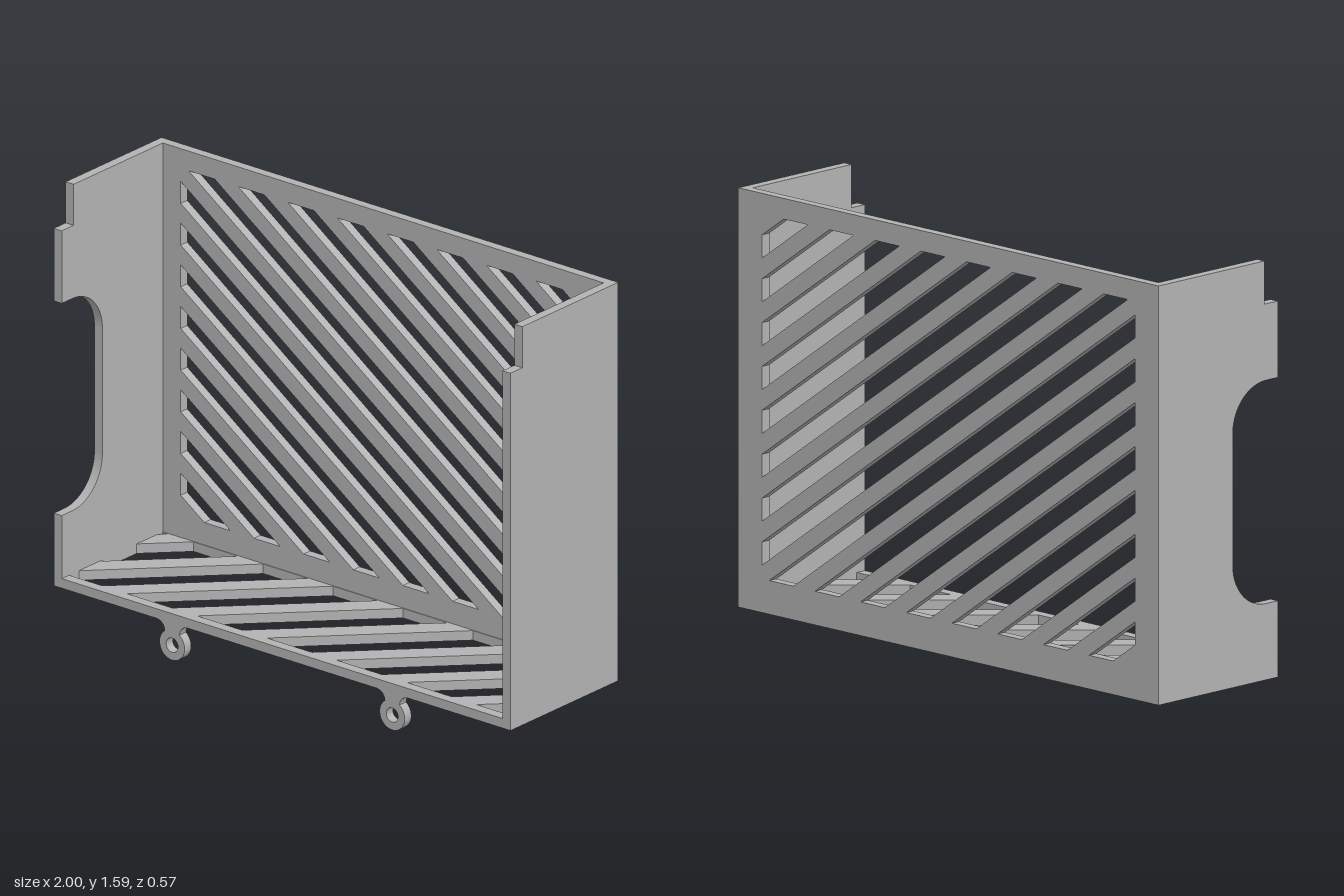
import * as THREE from 'three';
import { toCreasedNormals } from 'three/addons/utils/BufferGeometryUtils.js';

const T = 0.035; // sheet thickness
const W = 1, D = 0.285, Y0 = 0.135, Y1 = 1.59;

const grey = new THREE.MeshStandardMaterial({ color: 0xb2b2b2 });
grey.name = 'grey plastic';

// keep the part of a polygon where nx*x + ny*y <= d
function clip(poly, nx, ny, d) {
  const out = [];
  poly.forEach((a, i) => {
    const b = poly[(i + 1) % poly.length];
    const da = nx * a.x + ny * a.y - d, db = nx * b.x + ny * b.y - d;
    if (da <= 0) out.push(a);
    if (da * db < 0) out.push(a.clone().lerp(b, da / (da - db)));
  });
  return out;
}

function rect(x0, y0, x1, y1) {
  return [[x0, y0], [x1, y0], [x1, y1], [x0, y1]].map(p => new THREE.Vector2(...p));
}

// plate with slanted slots; bars lie at nx*x + ny*y = offset + k * pitch
function slottedPlate(outline, win, angle, offset, pitch, halfBar) {
  const shape = new THREE.Shape(outline);
  const nx = Math.sin(angle), ny = Math.cos(angle);
  for (let k = -12; k <= 12; k++) {
    let slot = clip(win, nx, ny, offset + (k + 1) * pitch - halfBar);
    slot = clip(slot, -nx, -ny, -(offset + k * pitch + halfBar));
    if (slot.length > 2) shape.holes.push(new THREE.Path(slot));
  }
  return shape;
}

function extrude(name, shape) {
  const geo = new THREE.ExtrudeGeometry(shape, { depth: T, bevelEnabled: false, curveSegments: 20 });
  const mesh = new THREE.Mesh(toCreasedNormals(geo, 0.5), grey);
  mesh.name = name;
  return mesh;
}

// side wall outline in (z, y), with a stepped top and an optional front cutout
function sideShape(cutout) {
  const s = new THREE.Shape();
  s.moveTo(-D + T, Y0 + T);
  s.lineTo(D, Y0 + T);
  if (cutout) {
    const r = 0.16, zc = D - 0.215, lo = 0.4, hi = 1.175;
    s.lineTo(D, lo);
    s.lineTo(zc + r, lo);
    s.absarc(zc + r, lo + r, r, -Math.PI / 2, -Math.PI, true);
    s.lineTo(zc, hi - r);
    s.absarc(zc + r, hi - r, r, Math.PI, Math.PI / 2, true);
    s.lineTo(D, hi);
  }
  s.lineTo(D, 1.44);
  s.lineTo(0.222, 1.44);
  s.lineTo(0.222, Y1);
  s.lineTo(-D + T, Y1);
  s.closePath();
  return s;
}

// ring with a flared neck, hanging below the floor
function tabShape() {
  const r = 0.055, a = 0.95, s = new THREE.Shape();
  s.moveTo(-0.07, Y0);
  s.quadraticCurveTo(-0.036, Y0 - 0.002, -r * Math.cos(a), r + r * Math.sin(a));
  s.absarc(0, r, r, Math.PI - a, 2 * Math.PI + a, false);
  s.quadraticCurveTo(0.036, Y0 - 0.002, 0.07, Y0);
  s.closePath();
  const hole = new THREE.Path();
  hole.absarc(0, r, 0.026, 0, Math.PI * 2, true);
  s.holes.push(hole);
  return s;
}

export function createModel() {
  const model = new THREE.Group();
  model.name = 'slottedTray';

  // back panel, one bar runs through the window centre
  const slope = THREE.MathUtils.degToRad(35);
  const back = extrude('backPanel', slottedPlate(
    rect(-W, Y0, W, Y1), rect(-0.887, 0.252, 0.887, 1.518),
    slope, 0.885 * Math.cos(slope), 0.1247, 0.0295));
  back.position.z = -D;
  model.add(back);

  // floor with wide diagonal bars
  const floor = extrude('floor', slottedPlate(
    rect(-W, -D + T, W, D), rect(-W + T, -0.247, W - T, 0.246),
    Math.PI / 4, -0.519 * Math.SQRT1_2, 0.306 * Math.SQRT1_2, 0.0545 * Math.SQRT1_2));
  floor.rotation.x = Math.PI / 2;
  floor.position.y = Y0 + T;
  model.add(floor);

  // side walls, only the right one has the cutout
  for (const [name, cutout, x] of [['leftWall', false, W], ['rightWall', true, -W + T]]) {
    const wall = extrude(name, sideShape(cutout));
    wall.rotation.y = -Math.PI / 2;
    wall.position.x = x;
    model.add(wall);
  }

  // mounting tabs
  for (const x of [-0.482, 0.482]) {
    const tab = extrude(x > 0 ? 'leftTab' : 'rightTab', tabShape());
    tab.position.set(x, 0, D - T);
    model.add(tab);
  }
  return model;
}
